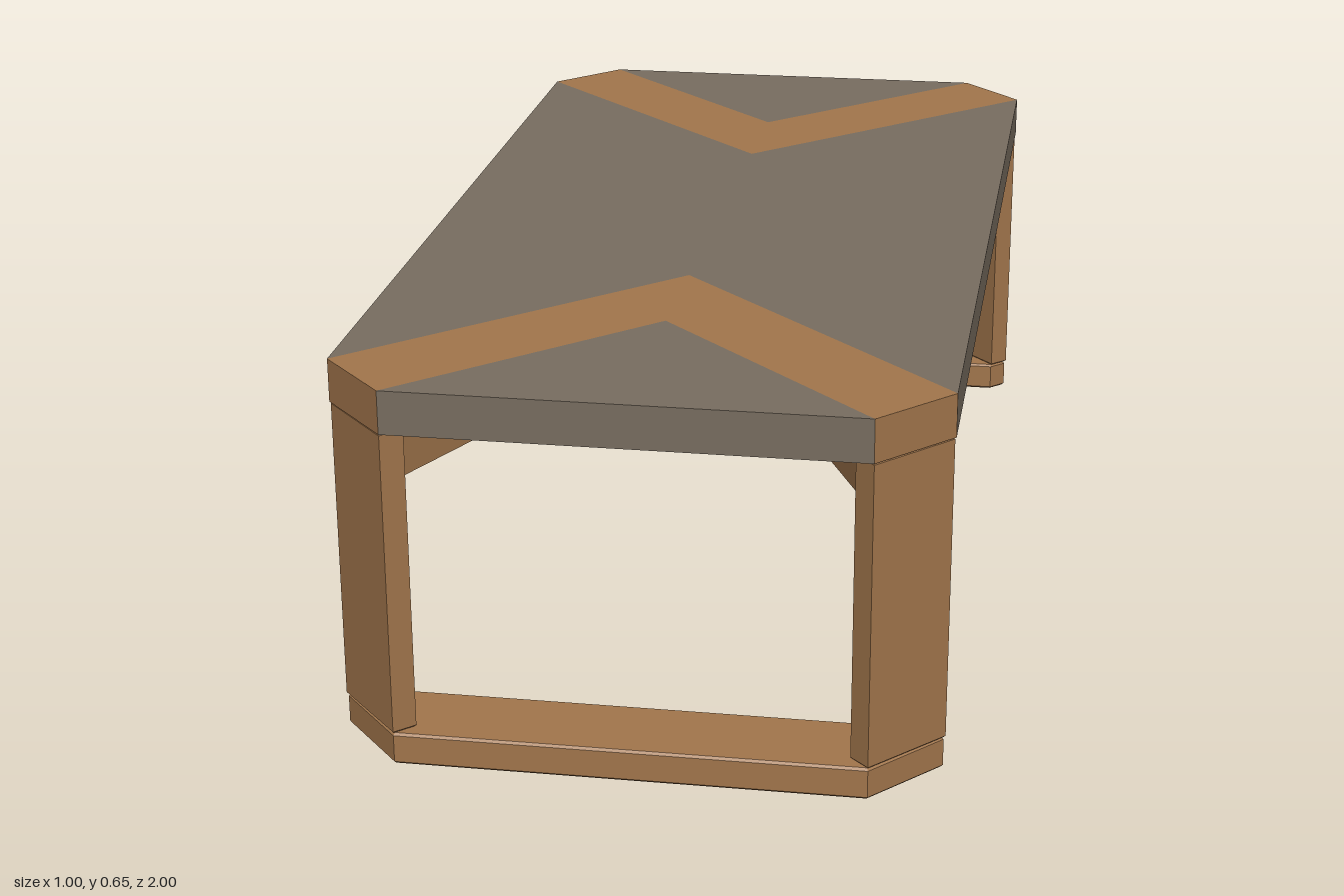
import * as THREE from 'three';

const wood = new THREE.MeshStandardMaterial({ color: 0xa2764c });
wood.name = 'wood';
const grey = new THREE.MeshStandardMaterial({ color: 0x786d60 });
grey.name = 'greyPanel';

// Upright slab with the plan outline [x, z], from y0 to y1, with a small edge bevel
function slab(name, plan, y0, y1, material, bevel = 0) {
  const shape = new THREE.Shape(plan.map(([x, z]) => new THREE.Vector2(x, -z)));
  const geometry = new THREE.ExtrudeGeometry(shape, {
    depth: y1 - y0 - 2 * bevel,
    bevelEnabled: bevel > 0,
    bevelSize: bevel,
    bevelThickness: bevel,
    bevelOffset: -bevel,
    bevelSegments: 1,
  });
  geometry.rotateX(-Math.PI / 2);
  geometry.translate(0, y0 + bevel, 0);
  const mesh = new THREE.Mesh(geometry, material);
  mesh.name = name;
  return mesh;
}

export function createModel() {
  const table = new THREE.Group();
  table.name = 'table';
  const under = 0.577, top = 0.65, foot = 0.055;

  // Middle panel of the table top, notched at both ends
  table.add(slab('middlePanel', [
    [-0.5, 0.875], [0, 0.38], [0.5, 0.875], [0.5, -0.875], [0, -0.38], [-0.5, -0.875],
  ], under, top, grey));

  for (const s of [1, -1]) {
    const end = s > 0 ? 'front' : 'back';
    const flip = (plan) => plan.map(([x, z]) => [x, z * s]);

    // Wooden chevron and the triangle it encloses
    table.add(slab(end + 'Chevron', flip([
      [-0.5, 0.875], [-0.385, 1], [0, 0.617], [0.385, 1], [0.5, 0.875], [0, 0.38],
    ]), under, top, wood));
    table.add(slab(end + 'Triangle', flip([
      [-0.385, 1], [0.385, 1], [0, 0.617],
    ]), under, top, grey));

    // Foot rail joining the two legs, with clipped corners
    table.add(slab(end + 'FootRail', flip([
      [-0.495, 0.873], [-0.385, 0.997], [0.385, 0.997], [0.495, 0.873],
      [0.467, 0.845], [-0.467, 0.845],
    ]), 0, foot, wood, 0.004));

    // Plank legs set across the corners
    for (const m of [1, -1]) {
      const plan = flip([[0.498, 0.874], [0.385, 0.998], [0.354, 0.968], [0.468, 0.845]]);
      table.add(slab(end + (m > 0 ? 'Left' : 'Right') + 'Leg',
        plan.map(([x, z]) => [x * m, z]), foot, under, wood, 0.003));
    }
  }

  // Crossed diagonal beams, cut to meet the inner faces of the legs
  for (const m of [1, -1]) {
    table.add(slab(m > 0 ? 'crossBeamA' : 'crossBeamB', [
      [0.451 * m, 0.87], [0.377 * m, 0.95], [-0.451 * m, -0.87], [-0.377 * m, -0.95],
    ], 0.48, under, wood));
  }

  return table;
}
